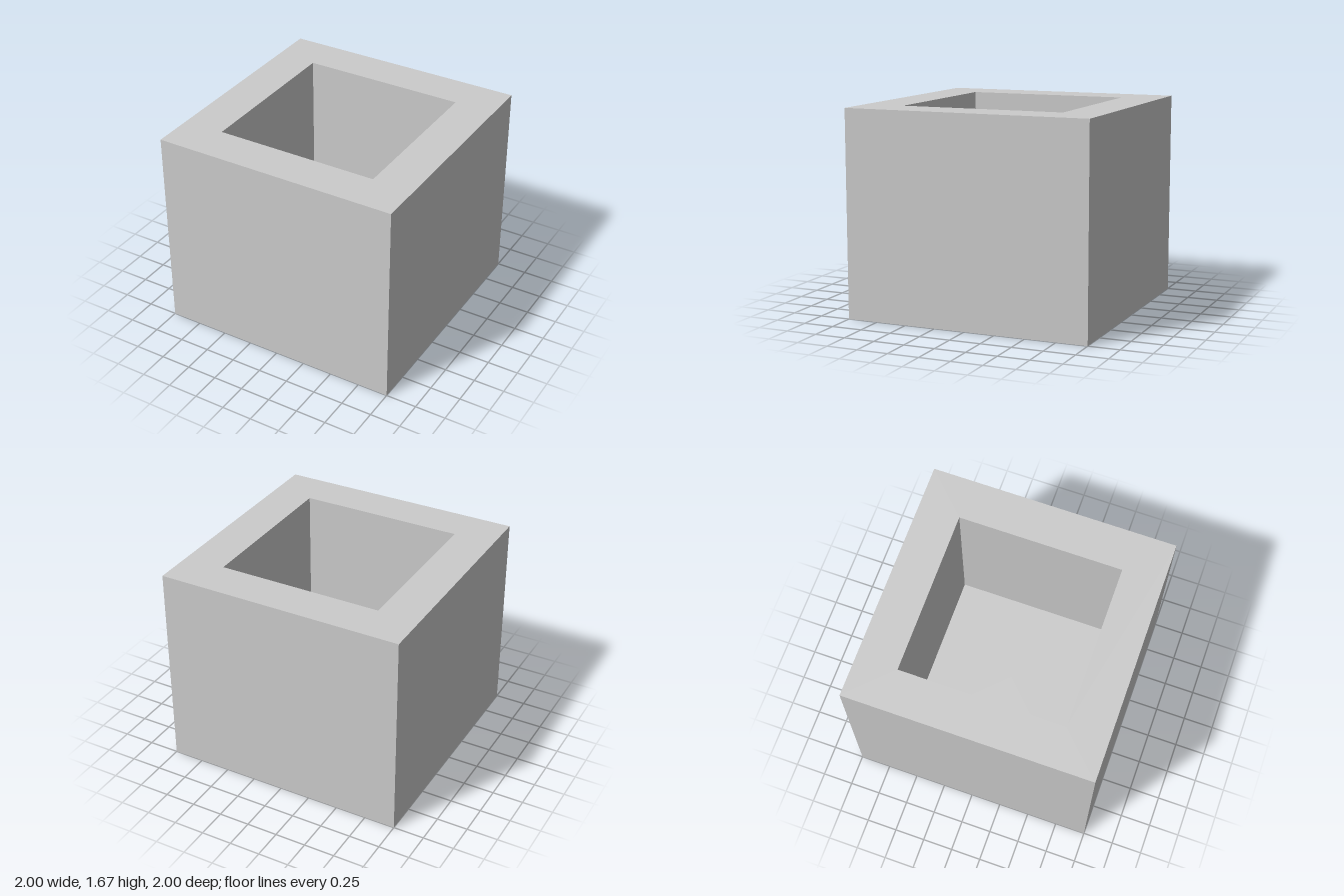
import * as THREE from 'three';

const HALF = 1;          // half of the outer width
const HEIGHT = 5 / 3;
const WALL = 1 / 3;      // thickness of walls and floor

export function createModel() {
  const group = new THREE.Group();
  group.name = 'openBox';

  // Cross-section from the underside, up the outer wall, over the rim, down to the inner floor
  const inner = HALF - WALL;
  const profile = [
    [0, 0], [HALF, 0], [HALF, HEIGHT],
    [inner, HEIGHT], [inner, WALL], [0, WALL],
  ].map(([x, y]) => new THREE.Vector2(x * Math.SQRT2, y));

  // Four-sided lathe, turned so its flat sides face the axes
  const geometry = new THREE.LatheGeometry(profile, 4, Math.PI / 4).toNonIndexed();
  geometry.computeVertexNormals();

  const material = new THREE.MeshStandardMaterial({ color: 0xcccccc, flatShading: true });
  const box = new THREE.Mesh(geometry, material);
  box.name = 'hollowBlock';
  group.add(box);
  return group;
}
